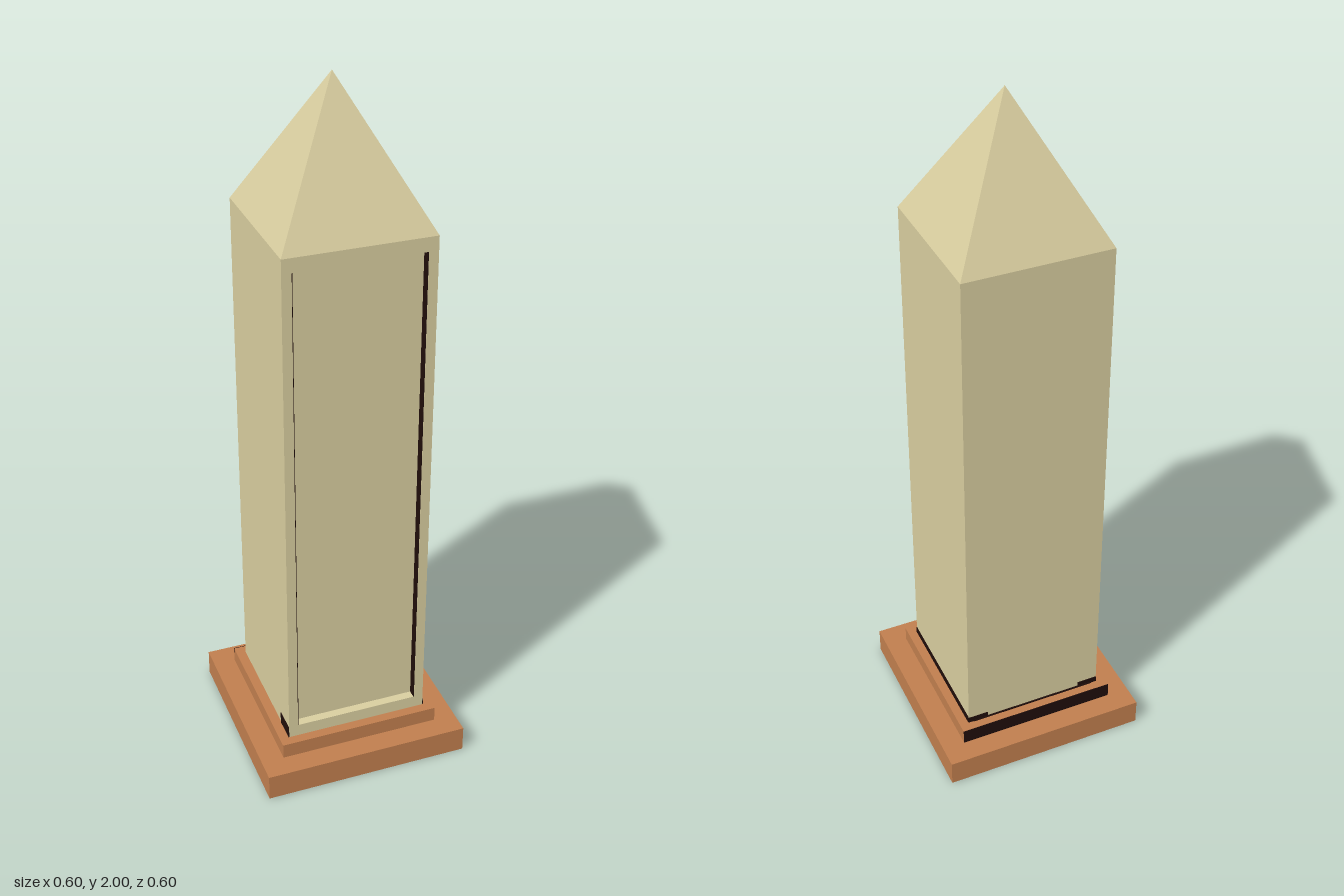
import * as THREE from 'three';

export function createModel() {
  const model = new THREE.Group();
  const stone = new THREE.MeshStandardMaterial({ color: 0xd8cd9f });
  stone.name = 'pale sandstone';
  const clay = new THREE.MeshStandardMaterial({ color: 0xc07e4e });
  clay.name = 'terracotta';
  const dark = new THREE.MeshStandardMaterial({ color: 0x1f0d0a });
  dark.name = 'dark joint';

  const add = (name, geometry, material, x = 0, y = 0, z = 0) => {
    const mesh = new THREE.Mesh(geometry, material);
    mesh.name = name;
    mesh.position.set(x, y, z);
    model.add(mesh);
    return mesh;
  };
  // Box given by its size and the height of its underside
  const box = (name, material, w, h, d, x, bottom, z) =>
    add(name, new THREE.BoxGeometry(w, h, d), material, x, bottom + h / 2, z);

  const half = 0.207, shaftBottom = 0.123, shaftTop = 1.62, recess = 0.025;
  const panelHalf = 0.18, panelBottom = 0.16, panelTop = 1.58;

  // Stepped plinth
  box('lowerStep', clay, 0.6, 0.078, 0.6, 0, 0, 0);
  box('upperStep', clay, 0.47, 0.045, 0.47, 0, 0.078, 0);

  // Shaft core, with a frame on the front that leaves a sunken panel
  box('shaft', stone, half * 2, shaftTop - shaftBottom, half * 2 - recess, 0, shaftBottom, -recess / 2);
  const rect = (path, w, y0, y1) =>
    path.moveTo(-w, y0).lineTo(w, y0).lineTo(w, y1).lineTo(-w, y1).closePath();
  const frame = rect(new THREE.Shape(), half, shaftBottom, shaftTop);
  frame.holes.push(rect(new THREE.Path(), panelHalf, panelBottom, panelTop));
  add('panelFrame', new THREE.ExtrudeGeometry(frame, { depth: recess, bevelEnabled: false }),
    stone, 0, 0, half - recess);

  // Dark side walls of the sunken panel
  for (const side of [-1, 1]) {
    box('panelSideWall', dark, 0.002, panelTop - panelBottom, recess - 0.001,
      side * (panelHalf - 0.001), panelBottom, half - recess / 2 - 0.0005);
  }

  // Pyramid cap, four flat sides
  const cap = new THREE.ConeGeometry(half * Math.SQRT2, 2 - shaftTop, 4, 1).toNonIndexed();
  cap.rotateY(Math.PI / 4);
  cap.computeVertexNormals();
  add('pyramidCap', cap, stone, 0, (2 + shaftTop) / 2, 0);

  // Dark joints at the foot of the shaft and on the back of the upper step
  box('rightFootJoint', dark, 0.002, 0.02, half * 2, half + 0.001, shaftBottom, 0);
  box('backFootJoint', dark, 0.38, 0.004, 0.004, 0, shaftBottom, -half - 0.002);
  box('backStepJoint', dark, 0.47, 0.045, 0.002, 0, 0.078, -0.236);
  for (const side of [-1, 1]) {
    box('backCornerJoint', dark, 0.06, 0.018, 0.002, side * (half - 0.03), shaftBottom, -half - 0.001);
  }
  box('leftCornerJoint', dark, 0.002, 0.035, 0.07, -half - 0.001, shaftBottom, half - 0.035);

  return model;
}
